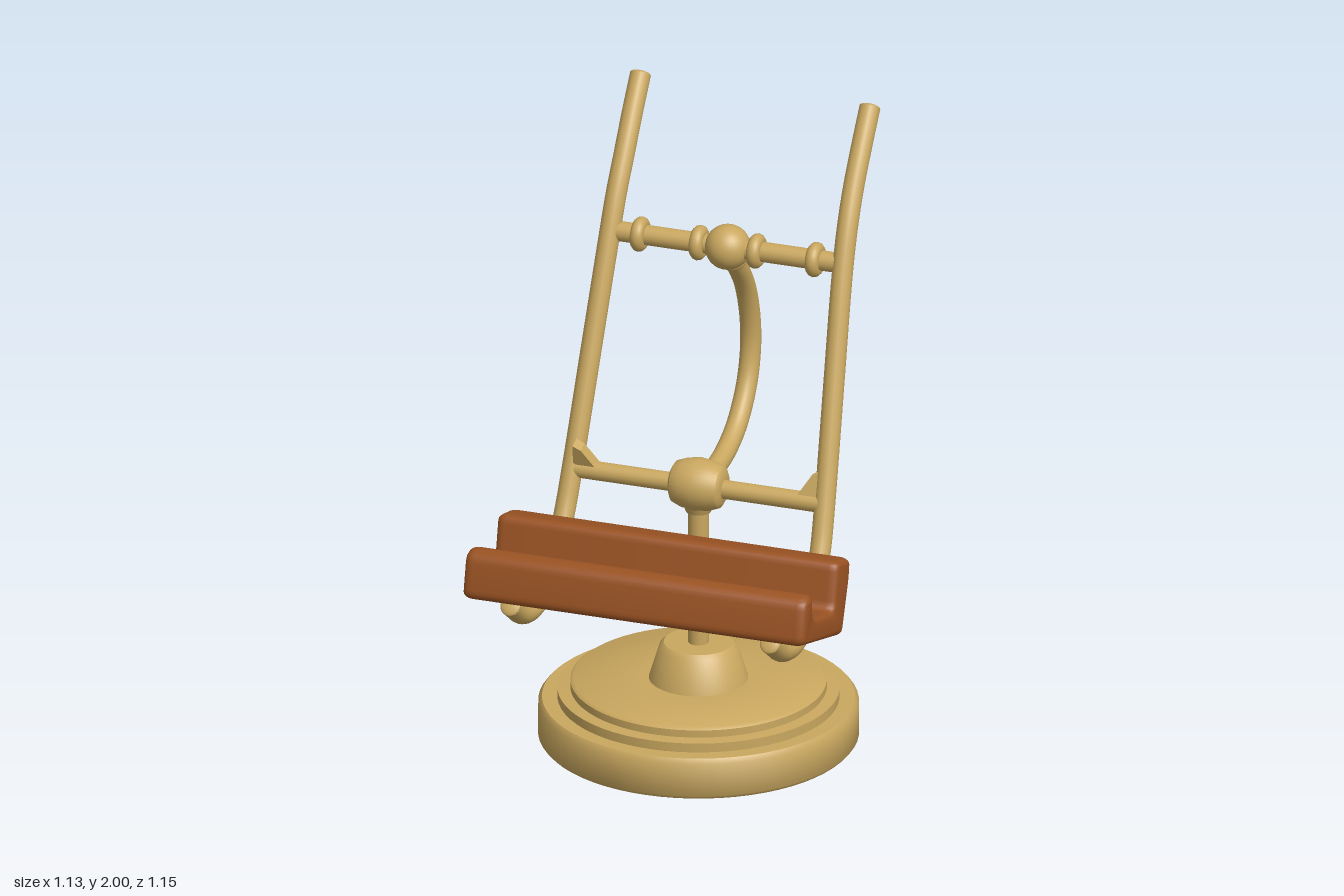
import * as THREE from 'three';
import { toCreasedNormals } from 'three/addons/utils/BufferGeometryUtils.js';

const BASE_Z = -0.03;
const ROD = 0.033;

export function createModel() {
  const model = new THREE.Group();
  model.name = 'bookStand';
  const tan = new THREE.MeshStandardMaterial({ color: 0xc9a75f });
  tan.name = 'tanWood';
  const brown = new THREE.MeshStandardMaterial({ color: 0x9a5323 });
  brown.name = 'brownWood';

  function add(name, geometry, material = tan, x = 0, y = 0, z = 0, parent = model) {
    const mesh = new THREE.Mesh(geometry, material);
    mesh.name = name;
    mesh.position.set(x, y, z);
    parent.add(mesh);
    return mesh;
  }
  const lathe = (points, segments = 48) => toCreasedNormals(
    new THREE.LatheGeometry(points.map(([r, y]) => new THREE.Vector2(r, y)), segments), 0.7);

  // Rod along a smooth path with softly rounded ends
  function rod(name, points, radius, segments) {
    const group = new THREE.Group();
    group.name = name;
    const curve = new THREE.CatmullRomCurve3(points.map((p) => new THREE.Vector3(...p)));
    add(name + 'Shaft', new THREE.TubeGeometry(curve, segments, radius, 16), tan, 0, 0, 0, group);
    for (const t of [0, 1]) {
      const p = curve.getPointAt(t);
      const cap = add(name + 'End', new THREE.SphereGeometry(radius, 16, 10), tan, p.x, p.y, p.z, group);
      cap.lookAt(p.clone().add(curve.getTangentAt(t)));
      cap.scale.z = 0.3;
    }
    model.add(group);
  }

  // Stepped round base with conical hub
  add('base', lathe([
    [0, 0], [0.49, 0], [0.5, 0.012], [0.5, 0.12], [0.488, 0.135],
    [0.44, 0.135], [0.44, 0.165], [0.4, 0.168], [0.4, 0.192], [0.39, 0.2],
    [0.155, 0.2], [0.122, 0.308], [0.108, 0.32], [0, 0.32],
  ], 64), tan, 0, 0, BASE_Z);

  // Post and central joint
  add('post', new THREE.CylinderGeometry(ROD, ROD, 0.52, 20), tan, 0, 0.56, BASE_Z);
  add('postCollar', new THREE.CylinderGeometry(0.055, 0.04, 0.04, 24), tan, 0, 0.785, BASE_Z);
  add('centralJoint', lathe([
    [0, -0.085], [0.05, -0.085], [0.066, -0.076], [0.078, -0.045], [0.085, 0],
    [0.078, 0.045], [0.066, 0.076], [0.05, 0.085], [0, 0.085],
  ], 32), tan, 0, 0.855, BASE_Z).rotation.z = Math.PI / 2;
  add('jointCollar', new THREE.TorusGeometry(0.033, 0.018, 10, 24), tan, 0, 0.85, -0.115);

  // Lower crossbar
  add('lowerCrossbar', new THREE.CylinderGeometry(0.03, 0.03, 0.82, 20), tan, 0, 0.85, BASE_Z)
    .rotation.z = Math.PI / 2;

  // Upper crossbar with turned ball and rings
  const upper = new THREE.Group();
  upper.name = 'upperCrossbar';
  upper.position.set(0, 1.552, -0.298);
  model.add(upper);
  add('upperBar', new THREE.CylinderGeometry(0.032, 0.032, 0.76, 20), tan, 0, 0, 0, upper)
    .rotation.z = Math.PI / 2;
  add('turnedBall', new THREE.SphereGeometry(0.072, 28, 20), tan, 0, 0, 0, upper);
  for (const side of [-1, 1]) {
    for (const x of [0.095, 0.29]) {
      add('turnedRing', new THREE.TorusGeometry(0.034, 0.022, 12, 28), tan, side * x, 0, 0, upper)
        .rotation.y = Math.PI / 2;
    }
  }

  // Curved rear brace and its collar below the ball
  rod('rearBrace', [
    [0, 1.55, -0.3], [0, 1.47, -0.37], [0, 1.36, -0.455], [0, 1.24, -0.5], [0, 1.13, -0.508],
    [0, 1.02, -0.475], [0, 0.92, -0.39], [0, 0.865, -0.28], [0, 0.847, -0.16], [0, 0.85, -0.03],
  ], ROD, 48);
  add('braceCollar', new THREE.TorusGeometry(0.032, 0.016, 10, 24), tan, 0, 1.497, -0.348)
    .lookAt(0, 1.41, -0.423);

  // Side rails, hooked forward under the tray, with small corner gussets
  const gussetShape = new THREE.Shape([
    new THREE.Vector2(0.33, 0), new THREE.Vector2(0.41, 0), new THREE.Vector2(0.4, 0.09),
    new THREE.Vector2(0.375, 0.075),
  ]);
  const gusset = new THREE.ExtrudeGeometry(gussetShape, { depth: 0.036, bevelEnabled: false });
  gusset.translate(0, 0, -0.018);
  for (const side of [-1, 1]) {
    rod(side > 0 ? 'leftRail' : 'rightRail', [
      [0.38, 1.98, -0.55], [0.38, 1.88, -0.475], [0.38, 1.77, -0.4], [0.383, 1.66, -0.335],
      [0.387, 1.53, -0.278], [0.402, 1.2, -0.157], [0.418, 0.85, -0.03], [0.424, 0.72, 0.025],
      [0.428, 0.61, 0.095], [0.43, 0.535, 0.185], [0.43, 0.505, 0.285],
      [0.43, 0.525, 0.395], [0.43, 0.598, 0.505],
    ].map(([x, y, z]) => [side * x, y, z]), ROD, 72);
    const brace = add('cornerGusset', gusset, tan, 0, 0.865, BASE_Z);
    brace.rotation.set(side > 0 ? -0.35 : 0.35, side > 0 ? 0 : Math.PI, 0);
  }

  // Tray: rounded channel profile (z, y) extruded across the width
  const corners = [
    [0.583, 0.635], [0.55, 0.775], [0.478, 0.782], [0.474, 0.688], [0.288, 0.636],
    [0.255, 0.788], [0.13, 0.758], [0.142, 0.69], [0.208, 0.522],
  ].map((p) => new THREE.Vector2(...p));
  const profile = new THREE.Shape();
  corners.forEach((c, i) => {
    const toward = (other) => c.clone().add(other.clone().sub(c).setLength(0.03));
    const a = toward(corners.at(i - 1));
    const b = toward(corners[(i + 1) % corners.length]);
    if (i === 0) profile.moveTo(a.x, a.y);
    else profile.lineTo(a.x, a.y);
    profile.quadraticCurveTo(c.x, c.y, b.x, b.y);
  });
  profile.closePath();
  const tray = new THREE.ExtrudeGeometry(profile, {
    depth: 1.07, curveSegments: 5,
    bevelEnabled: true, bevelThickness: 0.03, bevelSize: 0.018, bevelOffset: -0.018, bevelSegments: 4,
  });
  tray.translate(0, 0, -0.535);
  tray.rotateY(-Math.PI / 2);
  add('tray', toCreasedNormals(tray, 0.7), brown);

  return model;
}
